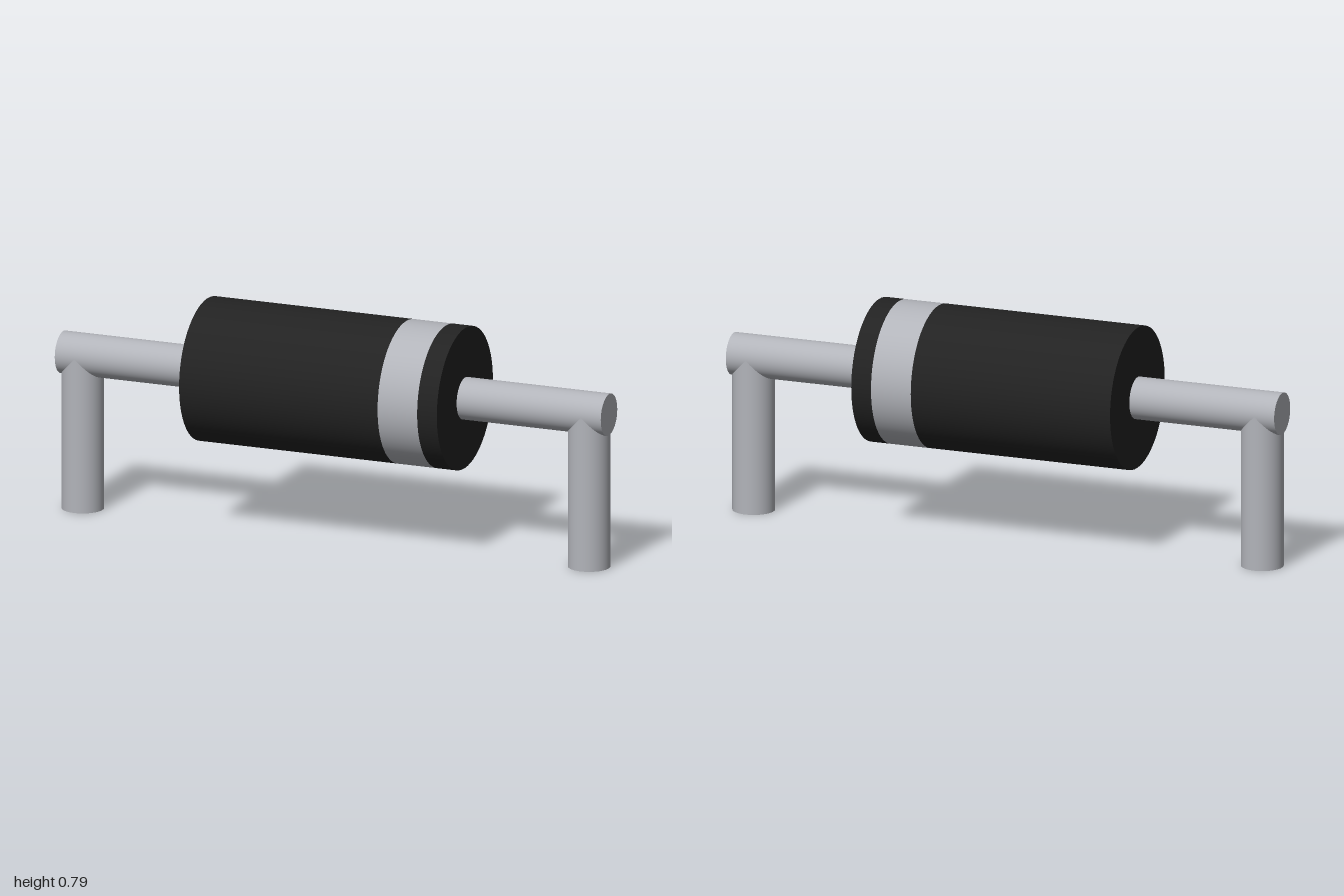
import * as THREE from 'three';

const material = (name, color) => {
  const m = new THREE.MeshStandardMaterial({ color });
  m.name = name;
  return m;
};

export function createModel() {
  const group = new THREE.Group();
  const black = material('blackCasing', 0x222222);
  const silver = material('silverMetal', 0xb2b4ba);

  const axisY = 0.54, bodyR = 0.246, leadR = 0.0725, bodyEnd = 0.472;

  // Smooth cylinder lying along x between two positions
  const rod = (name, x0, x1, radius, mat, open = false) => {
    const geometry = new THREE.CylinderGeometry(radius, radius, x1 - x0, 64, 1, open);
    geometry.rotateZ(-Math.PI / 2);
    const mesh = new THREE.Mesh(geometry, mat);
    mesh.position.set((x0 + x1) / 2, axisY, 0);
    mesh.name = name;
    group.add(mesh);
  };

  // Casing with a flush polarity band
  rod('casing', -bodyEnd, 0.255, bodyR, black);
  rod('polarityBand', 0.255, 0.4, bodyR, silver, true);
  rod('casingEnd', 0.4, bodyEnd, bodyR, black);

  // Leads: a horizontal rod out of each end and a leg down to the ground
  for (const [side, s] of [['left', 1], ['right', -1]]) {
    const inner = s * bodyEnd;
    rod(side + 'Lead', Math.min(inner, s), Math.max(inner, s), leadR, silver);
    const leg = new THREE.Mesh(new THREE.CylinderGeometry(leadR, leadR, axisY, 64), silver);
    leg.position.set(s * (1 - leadR), axisY / 2, 0);
    leg.name = side + 'Leg';
    group.add(leg);
  }
  return group;
}
